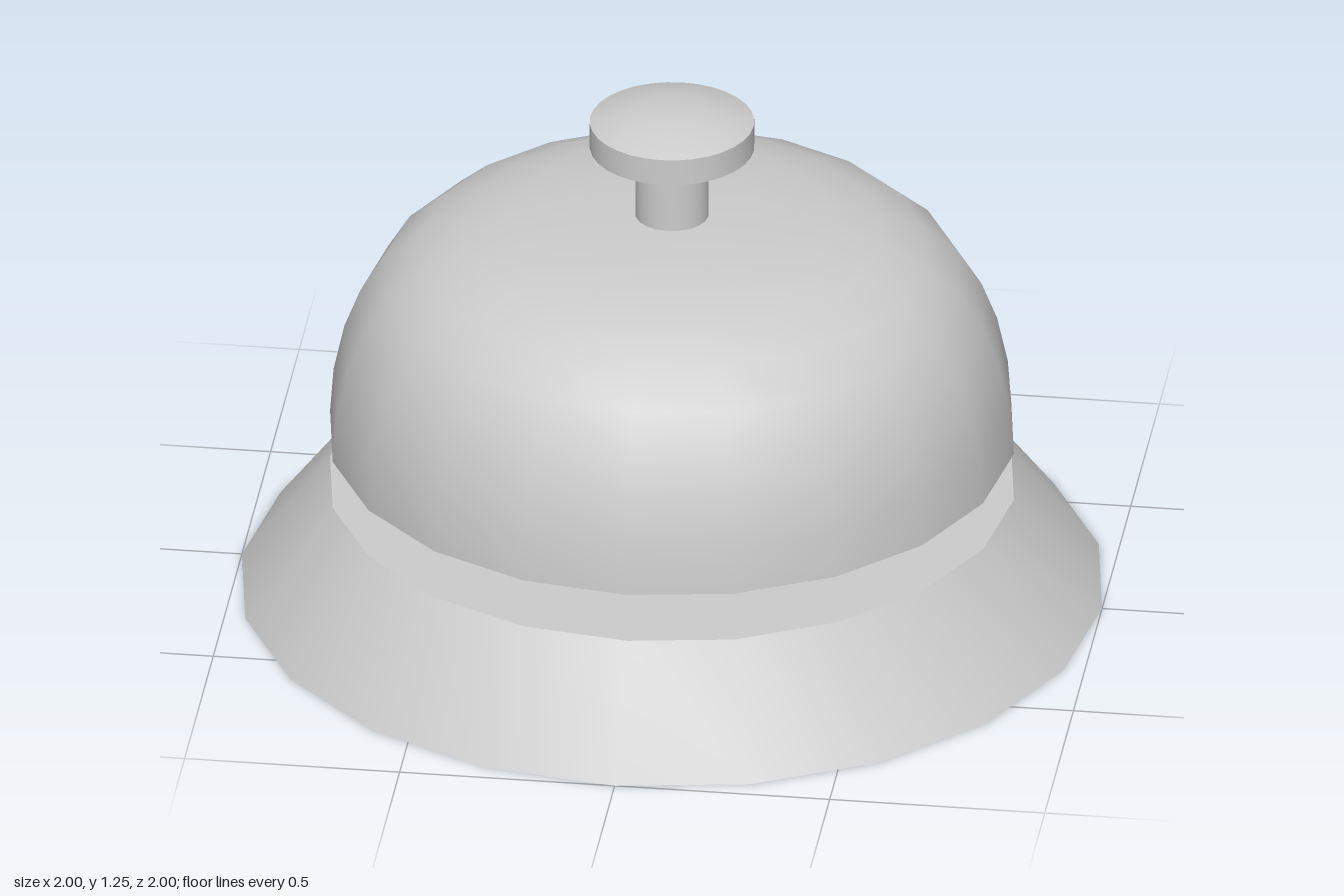
import * as THREE from 'three';
import { toCreasedNormals } from 'three/addons/utils/BufferGeometryUtils.js';

const material = new THREE.MeshStandardMaterial({ color: 0xcccccc });

// Turned part from a [radius, height] profile, listed from bottom to top on the outside
function turned(name, profile, sides) {
  const points = profile.map(([r, y]) => new THREE.Vector2(r, y));
  const geometry = toCreasedNormals(new THREE.LatheGeometry(points, sides), 0.7);
  const mesh = new THREE.Mesh(geometry, material);
  mesh.name = name;
  return mesh;
}

export function createModel() {
  const group = new THREE.Group();
  group.name = 'serviceBell';

  // Solid tapered foot
  group.add(turned('base', [[0, 0], [1, 0], [0.795, 0.27], [0, 0.27]], 20));

  // Post carrying the bell
  group.add(turned('post', [[0, 0.27], [0.11, 0.27], [0.11, 0.93], [0, 0.93]], 20));

  // Hollow dome: inner wall down to the lip, then outer wall up to the crown
  const outer = [
    [0.795, 0.39], [0.787, 0.5], [0.762, 0.615], [0.725, 0.71], [0.67, 0.8],
    [0.59, 0.87], [0.49, 0.917], [0.375, 0.945], [0.22, 0.96], [0, 0.965],
  ];
  const inner = outer.map(([r, y], i) => [r * 0.94, i ? y - 0.04 * (y - 0.39) / 0.575 : y]);
  group.add(turned('bellDome', [...inner.reverse(), ...outer], 20));

  // Plunger and its domed button
  group.add(turned('plungerStem', [[0, 0.94], [0.085, 0.94], [0.085, 1.15], [0, 1.15]], 20));
  group.add(turned('plungerButton', [
    [0, 1.14], [0.19, 1.14], [0.19, 1.205], [0.13, 1.228], [0.07, 1.24], [0, 1.245],
  ], 32));

  return group;
}
